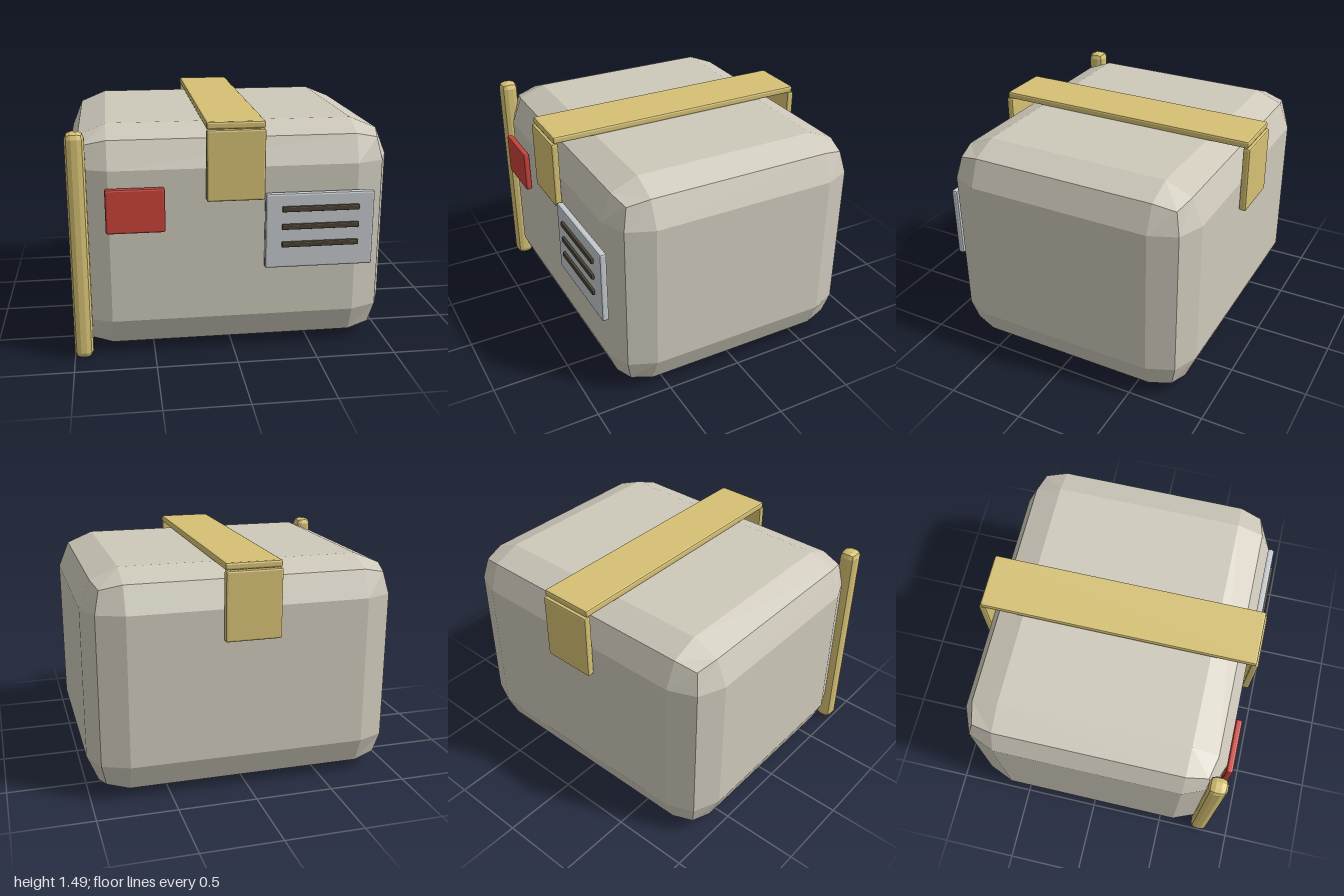
import * as THREE from 'three';

const paint = (color) => new THREE.MeshStandardMaterial({ color, flatShading: true });

// Box whose edges are bevelled in two steps of a quarter circle of radius r
function bevelBox(w, h, d, r) {
  const geo = new THREE.BoxGeometry(2, 2, 2, 3, 3, 3);
  const core = new THREE.Vector3(w / 2 - r, h / 2 - r, d / 2 - r);
  const pos = geo.attributes.position;
  const p = new THREE.Vector3();
  const dir = new THREE.Vector3();
  for (let i = 0; i < pos.count; i++) {
    p.fromBufferAttribute(pos, i);
    // outer grid lines give the bevel direction, inner ones stay flat
    dir.set(Math.trunc(p.x * 1.01), Math.trunc(p.y * 1.01), Math.trunc(p.z * 1.01)).normalize();
    p.set(Math.sign(p.x), Math.sign(p.y), Math.sign(p.z)).multiply(core).addScaledVector(dir, r);
    pos.setXYZ(i, p.x, p.y, p.z);
  }
  geo.computeVertexNormals();
  return geo;
}

export function createModel() {
  const model = new THREE.Group();
  model.name = 'parcel';

  const card = paint(0xcdc8ba);
  const tape = paint(0xd5c074);
  const red = paint(0xc8433a);
  const paper = paint(0xc5cace);
  const ink = paint(0x4a4232);

  // Adds a bevelled box given its minimum and maximum on each axis
  function add(name, material, [x0, x1], [y0, y1], [z0, z1], r) {
    const mesh = new THREE.Mesh(bevelBox(x1 - x0, y1 - y0, z1 - z0, r), material);
    mesh.position.set((x0 + x1) / 2, (y0 + y1) / 2, (z0 + z1) / 2);
    mesh.name = name;
    model.add(mesh);
  }

  // Box body
  add('body', card, [-1, 1], [0, 1.44], [-0.85, 0.83], 0.24);

  // Tape over the top with a flap at each end
  const tapeX = [-0.178, 0.176];
  add('tapeTop', tape, tapeX, [1.44, 1.486], [-0.885, 0.87], 0.012);
  add('tapeFront', tape, tapeX, [1.005, 1.44], [0.838, 0.884], 0.012);
  add('tapeBack', tape, tapeX, [1.005, 1.44], [-0.9, -0.852], 0.012);

  // Upright corner guard
  add('cornerGuard', tape, [-1, -0.885], [0.003, 1.435], [0.73, 0.847], 0.04);

  // Red sticker
  add('sticker', red, [-0.78, -0.425], [0.825, 1.1], [0.838, 0.88], 0.012);

  // Address label with three printed lines
  add('label', paper, [0.18, 0.855], [0.565, 1.04], [0.838, 0.882], 0.012);
  for (const y of [0.719, 0.832, 0.944]) {
    add('labelLine', ink, [0.28, 0.758], [y - 0.017, y + 0.017], [0.872, 0.9], 0.006);
  }

  return model;
}
